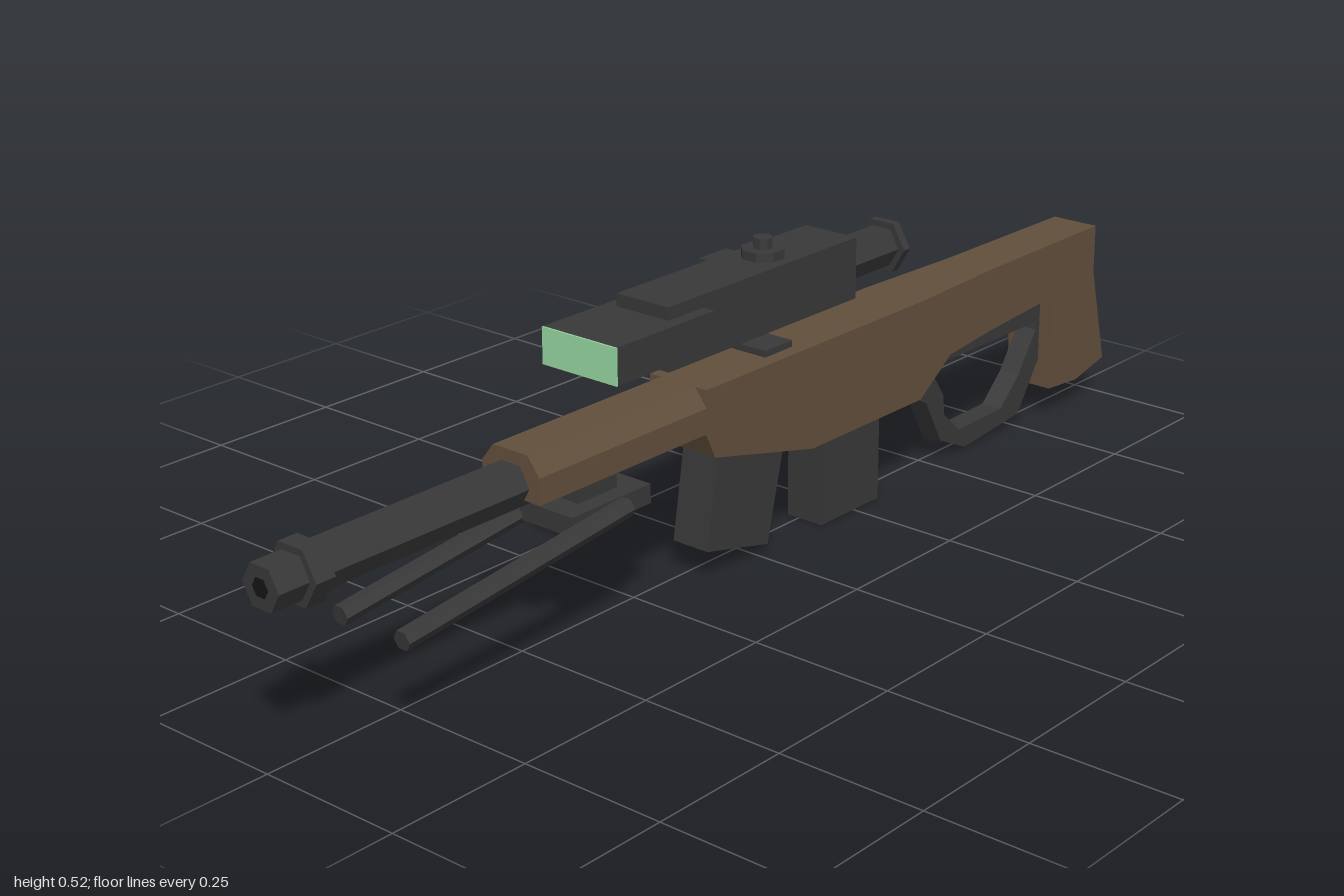
import * as THREE from 'three';

const ZC = 0.0125; // centre plane of the rifle

export function createModel() {
  const group = new THREE.Group();
  const mat = (name, color) => {
    const m = new THREE.MeshStandardMaterial({ color, flatShading: true });
    m.name = name;
    return m;
  };
  const brown = mat('brownStock', 0x624f3c);
  const dark = mat('gunmetal', 0x383838);
  const green = mat('lensGreen', 0x98d8a2);
  const black = mat('boreBlack', 0x141414);

  const add = (name, geo, m) => {
    const mesh = new THREE.Mesh(geo, m);
    mesh.name = name;
    group.add(mesh);
    return mesh;
  };
  const box = (name, x0, x1, y0, y1, z0, z1, m = dark) => {
    const g = new THREE.BoxGeometry(x1 - x0, y1 - y0, z1 - z0);
    g.translate((x0 + x1) / 2, (y0 + y1) / 2, (z0 + z1) / 2);
    return add(name, g, m);
  };
  // Side profile given half-width as a number or as a function of x
  const slab = (name, pts, half, m, hole) => {
    const shape = new THREE.Shape(pts.map(p => new THREE.Vector2(...p)));
    if (hole) shape.holes.push(new THREE.Path(hole.map(p => new THREE.Vector2(...p))));
    const g = new THREE.ExtrudeGeometry(shape, { depth: 2, bevelEnabled: false });
    const p = g.attributes.position;
    for (let i = 0; i < p.count; i++) {
      const h = typeof half === 'function' ? half(p.getX(i)) : half;
      p.setZ(i, ZC + (p.getZ(i) - 1) * h);
    }
    g.computeVertexNormals();
    return add(name, g, m);
  };
  // Hexagonal bar along x with flat top and bottom
  const hexBar = (name, x0, x1, r, y, m = dark) => {
    const g = new THREE.CylinderGeometry(r, r, x1 - x0, 6);
    g.rotateZ(Math.PI / 2);
    g.translate((x0 + x1) / 2, y, ZC);
    return add(name, g, m);
  };

  // Stock, narrowing towards the butt
  const half = x => x <= 0.41 ? 0.0585
    : x <= 0.62 ? 0.0585 - (x - 0.41) / 0.21 * 0.0105
    : 0.048 - Math.min(1, (x - 0.62) / 0.33) * 0.003;
  slab('receiver', [[-0.155, 0.338], [-0.155, 0.262], [-0.135, 0.22], [0.11, 0.16],
    [0.405, 0.16], [0.405, 0.338]], half, brown);
  slab('stockNeck', [[0.405, 0.338], [0.405, 0.16], [0.495, 0.216], [0.62, 0.224],
    [0.62, 0.338]], half, brown);
  slab('buttStock', [[0.62, 0.338], [0.62, 0.224], [0.82, 0.236], [0.82, 0.058],
    [0.91, 0.05], [1, 0.07], [0.955, 0.25], [0.955, 0.338]], half, brown);

  // Fore-end with chamfered upper edges
  const section = new THREE.Shape([[-0.0585, 0.265], [0.0585, 0.265], [0.0585, 0.308],
    [0.035, 0.338], [-0.035, 0.338], [-0.0585, 0.308]].map(p => new THREE.Vector2(...p)));
  const fore = new THREE.ExtrudeGeometry(section, { depth: 0.37, bevelEnabled: false });
  fore.rotateY(Math.PI / 2);
  fore.translate(-0.525, 0, ZC);
  add('foreEnd', fore, brown);

  // Barrel and muzzle ring
  hexBar('barrel', -1, -0.5, 0.0375, 0.285);
  hexBar('muzzleRing', -0.945, -0.91, 0.05, 0.285);
  hexBar('bore', -1.001, -0.996, 0.016, 0.285, black);

  // Magazines and grip guard
  slab('tiltedMagazine', [[-0.1, 0.22], [0.065, 0.19], [0.022, 0.014], [-0.128, 0.05]], 0.036, dark);
  box('straightMagazine', 0.163, 0.318, 0, 0.17, ZC - 0.036, ZC + 0.036);
  slab('gripGuard', [[0.4, 0.165], [0.475, 0.123], [0.52, 0.04], [0.595, 0.005], [0.76, 0.02],
    [0.82, 0.11], [0.82, 0.236], [0.495, 0.222]], 0.02, dark,
  [[0.49, 0.175], [0.525, 0.187], [0.81, 0.185], [0.808, 0.17], [0.757, 0.095], [0.705, 0.046],
    [0.575, 0.044], [0.53, 0.085], [0.525, 0.125]]);

  // Bipod: mount, hinge block and two folded legs
  box('bipodMount', -0.41, -0.325, 0.215, 0.27, ZC - 0.025, ZC + 0.025);
  box('bipodHinge', -0.455, -0.282, 0.19, 0.222, ZC - 0.055, ZC + 0.055);
  for (const side of [-1, 1]) {
    const z = ZC + side * 0.0635;
    const a = new THREE.Vector3(-0.81, 0.156, z), b = new THREE.Vector3(-0.345, 0.207, z);
    const leg = add(side > 0 ? 'leftBipodLeg' : 'rightBipodLeg',
      new THREE.CylinderGeometry(0.0165, 0.0165, a.distanceTo(b), 6), dark);
    leg.position.copy(a).lerp(b, 0.5);
    leg.quaternion.setFromUnitVectors(new THREE.Vector3(0, 1, 0), b.clone().sub(a).normalize());
  }

  // Scope body, objective and eyepiece
  box('scopeBody', -0.235, 0.225, 0.388, 0.492, ZC - 0.0525, ZC + 0.0525);
  box('objectiveHousing', -0.373, -0.155, 0.411, 0.471, ZC - 0.075, ZC + 0.075);
  box('objectiveLens', -0.376, -0.373, 0.411, 0.471, ZC - 0.075, ZC + 0.075, green);
  hexBar('eyepieceTube', 0.22, 0.365, 0.036, 0.435);
  hexBar('eyepieceRim', 0.362, 0.378, 0.048, 0.435);
  hexBar('eyepieceLens', 0.375, 0.38, 0.04, 0.435, green);

  // Adjustment knob
  for (const [name, r, y0, y1] of [['knobBase', 0.036, 0.49, 0.507], ['knobCap', 0.016, 0.505, 0.525]]) {
    const g = new THREE.CylinderGeometry(r, r, y1 - y0, 8);
    g.rotateY(Math.PI / 8);
    g.translate(0.05, (y0 + y1) / 2, ZC);
    add(name, g, dark);
  }

  // Side bracket holding the scope
  box('bracketBlock', 0.017, 0.085, 0.405, 0.475, -0.0925, -0.035);
  box('bracketPost', 0.017, 0.085, 0.295, 0.41, -0.074, -0.058);
  box('bracketPlate', 0.017, 0.085, 0.336, 0.349, -0.06, 0.046);
  box('bracketFoot', 0.017, 0.085, 0.295, 0.336, -0.06, -0.044);

  return group;
}
